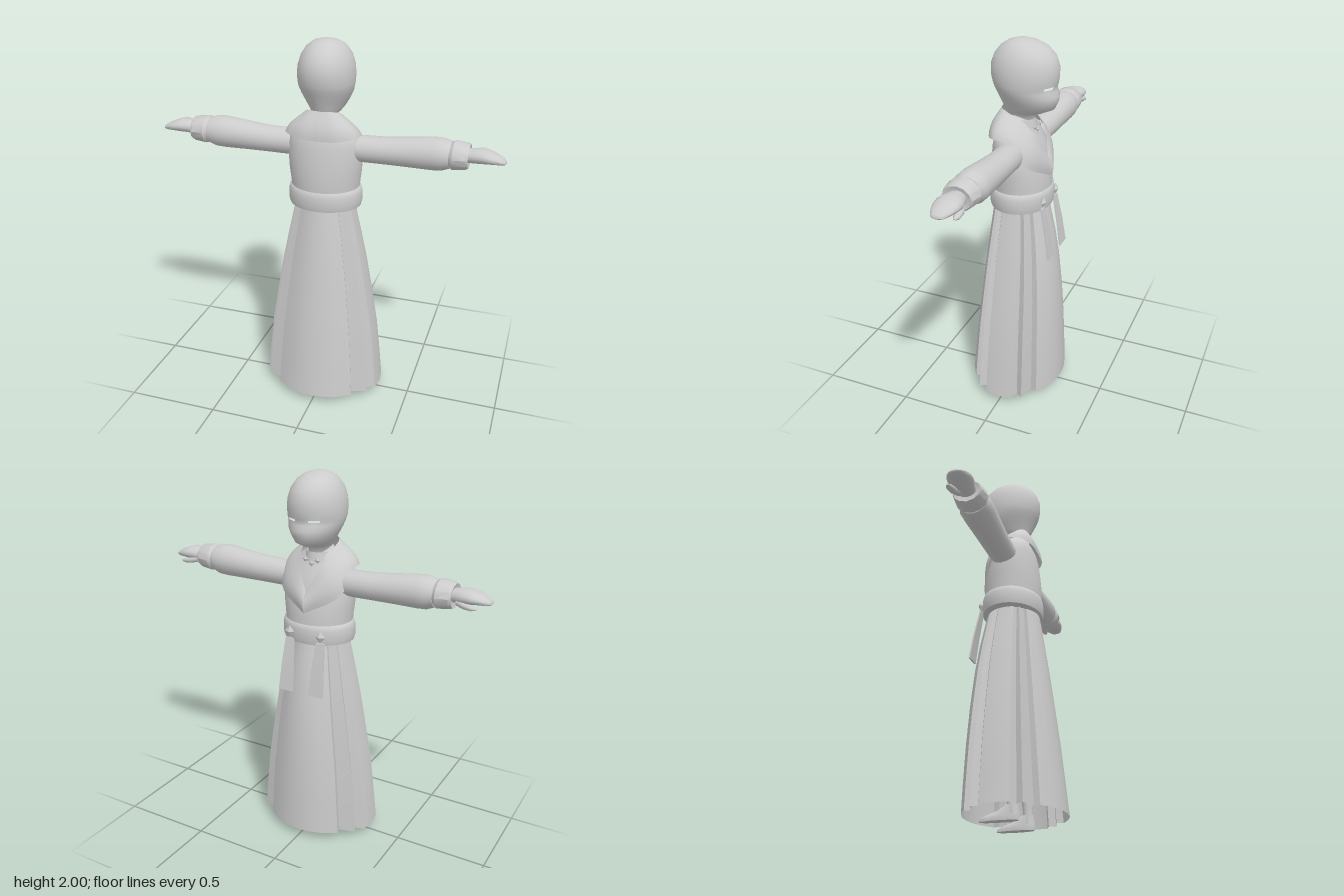
import * as THREE from 'three';
import { toCreasedNormals } from 'three/addons/utils/BufferGeometryUtils.js';

const TAU = Math.PI * 2;

// Skin a list of point rings; closed rings wrap around, caps fill the ends.
function loft(rings, { closed = true, capStart = false, capEnd = false, mirror = false, crease = 0.9, skip = null } = {}) {
  const n = rings[0].length, pos = [], idx = [];
  rings.forEach(r => r.forEach(p => pos.push(mirror ? -p[0] : p[0], p[1], p[2])));
  const tri = (a, b, c) => (mirror ? idx.push(a, c, b) : idx.push(a, b, c));
  for (let i = 0; i < rings.length - 1; i++) {
    for (let j = 0; j < (closed ? n : n - 1); j++) {
      if (skip && skip(i, j)) continue;
      const k = (j + 1) % n, a = i * n, b = a + n;
      tri(a + j, a + k, b + k);
      tri(a + j, b + k, b + j);
    }
  }
  const cap = (row, flip) => {
    const c = pos.length / 3, r = rings[row];
    const m = [0, 1, 2].map(d => r.reduce((s, p) => s + p[d], 0) / n);
    pos.push(mirror ? -m[0] : m[0], m[1], m[2]);
    for (let j = 0; j < n; j++) {
      const a = row * n + j, b = row * n + (j + 1) % n;
      flip ? tri(c, b, a) : tri(c, a, b);
    }
  };
  if (capStart) cap(0, true);
  if (capEnd) cap(rings.length - 1, false);
  const g = new THREE.BufferGeometry();
  g.setAttribute('position', new THREE.Float32BufferAttribute(pos, 3));
  g.setIndex(idx);
  return toCreasedNormals(g, crease);
}

// Horizontal oval ring: height, half width, back z, face-side z, centre x
const flatRing = (y, w, z1, z0, cx = 0, n = 32) => Array.from({ length: n }, (_, j) => {
  const a = j / n * TAU;
  return [cx + w * Math.sin(a), y, (z1 + z0) / 2 + (z1 - z0) / 2 * Math.cos(a)];
});

// Upright oval ring along the arm: x, centre y, half height, centre z, half depth
const armRing = ([x, y, h, z, d], n = 20) => Array.from({ length: n }, (_, j) => {
  const a = j / n * TAU;
  return [x, y + h * Math.cos(a), z + d * Math.sin(a)];
});

export function createModel() {
  const model = new THREE.Group();
  const grey = new THREE.MeshStandardMaterial({ color: 0xcccccc });
  grey.name = 'plain grey';
  const cloth = new THREE.MeshStandardMaterial({ color: 0xcccccc, side: THREE.DoubleSide });
  cloth.name = 'plain grey cloth';
  const add = (name, geo, mat = grey) => {
    const m = new THREE.Mesh(geo, mat);
    m.name = name;
    model.add(m);
    return m;
  };

  // Head, with two narrow eye slits on the -z face
  const headRows = [
    [1.50, 0.06, 0.06, -0.07], [1.58, 0.056, 0.06, -0.065], [1.625, 0.06, 0.07, -0.075],
    [1.637, 0.075, 0.078, -0.13], [1.66, 0.092, 0.087, -0.182], [1.70, 0.115, 0.103, -0.2],
    [1.73, 0.13, 0.117, -0.204], [1.755, 0.138, 0.128, -0.192], [1.772, 0.142, 0.135, -0.19],
    [1.784, 0.144, 0.139, -0.194], [1.82, 0.146, 0.147, -0.2], [1.87, 0.142, 0.148, -0.2],
    [1.92, 0.126, 0.13, -0.183], [1.96, 0.1, 0.098, -0.145], [1.985, 0.067, 0.06, -0.095],
    [1.997, 0.03, 0.022, -0.045], [2.0, 0.004, 0, -0.01]];
  add('head', loft(headRows.map(r => flatRing(...r, 0, 48)), {
    capEnd: true, crease: 1.3,
    skip: (i, j) => i === 8 && ((j >= 19 && j <= 21) || (j >= 26 && j <= 28))
  }));

  // Bodice
  add('torso', loft([
    [1.2, 0.182, 0.14, -0.168], [1.26, 0.184, 0.145, -0.167], [1.33, 0.194, 0.143, -0.16],
    [1.4, 0.197, 0.137, -0.143], [1.47, 0.193, 0.128, -0.118], [1.52, 0.178, 0.117, -0.092],
    [1.56, 0.13, 0.1, -0.072], [1.6, 0.075, 0.08, -0.06], [1.62, 0.06, 0.07, -0.05]
  ].map(r => flatRing(...r)), { capEnd: true }));

  // Wide collar that runs into crossed lapels; each half is a bulged strip
  const inner = [[0, 1.655, 0.085], [0.06, 1.655, 0.075], [0.085, 1.645, 0.04], [0.085, 1.61, -0.03], [0.065, 1.54, -0.105], [0, 1.41, -0.152]];
  const outer = [[0, 1.515, 0.137], [0.1, 1.518, 0.13], [0.188, 1.53, 0.075], [0.195, 1.52, -0.005], [0.172, 1.4, -0.1], [0, 1.3, -0.174]];
  const curve = pts => new THREE.CatmullRomCurve3(pts.map(p => new THREE.Vector3(...p)));
  const ci = curve(inner), co = curve(outer);
  const strips = [];
  for (let i = 0; i <= 24; i++) {
    const a = ci.getPoint(i / 24), b = co.getPoint(i / 24), row = [];
    for (let k = 0; k <= 6; k++) {
      const p = a.clone().lerp(b, k / 6);
      const s = 1 + 0.12 * Math.sin(k / 6 * Math.PI);
      row.push([p.x * s, p.y, p.z * s]);
    }
    strips.push(row);
  }
  for (const mirror of [false, true]) add(mirror ? 'rightCollar' : 'leftCollar', loft(strips, { closed: false, mirror }), cloth);

  // Neck band and small collar gems
  add('neckBand', loft([[1.55, 0.074, 0.07, -0.09], [1.6, 0.066, 0.066, -0.08]].map(r => flatRing(...r))), cloth);
  const gem = (name, x, y, z, r) => {
    const g = new THREE.OctahedronGeometry(r);
    g.scale(1, 1, 0.5);
    g.translate(x, y, z);
    add(name, g);
  };
  for (const x of [-0.035, 0, 0.035]) gem('collarGem', x, x ? 1.565 : 1.545, -0.094, 0.017);

  // Sash
  add('belt', loft([
    [1.125, 0.16, 0.125, -0.15], [1.135, 0.192, 0.148, -0.172], [1.16, 0.198, 0.154, -0.178],
    [1.21, 0.197, 0.153, -0.177], [1.235, 0.19, 0.147, -0.172], [1.243, 0.178, 0.138, -0.16]
  ].map(r => flatRing(...r))));

  // Pleated skirt: one stepped outline at the hem, narrowed towards the waist
  const quarter = [[0, 0.265], [0.07, 0.258], [0.14, 0.235], [0.215, 0.19], [0.205, 0.155], [0.295, 0.13], [0.275, 0.095], [0.325, 0.075], [0.335, 0]];
  const half = [...quarter, ...quarter.slice(0, -1).reverse().map(([x, z]) => [x, -z])];
  const hem = [...half, ...half.slice(1, -1).reverse().map(([x, z]) => [-x, z])];
  const skirtRows = [
    [0.045, 0.335, 0.265, -0.26], [0.2, 0.32, 0.25, -0.256], [0.4, 0.298, 0.23, -0.248], [0.6, 0.265, 0.206, -0.236],
    [0.8, 0.23, 0.181, -0.217], [0.95, 0.199, 0.16, -0.194], [1.08, 0.17, 0.142, -0.167], [1.15, 0.155, 0.13, -0.152]];
  add('skirt', loft(skirtRows.map(([y, w, b, f]) => hem.map(([x, z]) =>
    [x * w / 0.335, y, (z > 0 ? b : -f) * z / 0.265])), { crease: 0.55 }), cloth);

  for (const mirror of [false, true]) {
    const side = mirror ? 'right' : 'left', s = mirror ? -1 : 1;

    // Sleeve, cuff and hand
    add(side + 'Sleeve', loft([
      [0.13, 1.45, 0.065, -0.01, 0.07], [0.2, 1.45, 0.069, -0.015, 0.074], [0.32, 1.452, 0.07, -0.015, 0.076],
      [0.45, 1.459, 0.077, -0.014, 0.081], [0.56, 1.465, 0.084, -0.013, 0.086], [0.61, 1.466, 0.082, -0.013, 0.086],
      [0.65, 1.468, 0.068, -0.012, 0.074], [0.655, 1.468, 0.05, -0.01, 0.055]
    ].map(r => armRing(r)), { mirror, capEnd: true }));
    add(side + 'Cuff', loft([
      [0.645, 1.47, 0.05, -0.01, 0.055], [0.648, 1.47, 0.063, -0.01, 0.075], [0.665, 1.47, 0.074, -0.01, 0.086],
      [0.73, 1.47, 0.066, -0.01, 0.078], [0.742, 1.47, 0.06, -0.01, 0.072], [0.735, 1.47, 0.035, -0.01, 0.045]
    ].map(r => armRing(r, 12)), { mirror, capStart: true, capEnd: true, crease: 0.6 }));
    add(side + 'Hand', loft([
      [0.72, 1.473, 0.033, -0.01, 0.042], [0.76, 1.476, 0.036, -0.012, 0.052], [0.81, 1.48, 0.037, -0.013, 0.066],
      [0.85, 1.476, 0.029, -0.01, 0.062], [0.89, 1.468, 0.02, -0.008, 0.048], [0.915, 1.462, 0.011, -0.005, 0.03],
      [0.923, 1.46, 0.003, -0.005, 0.01]
    ].map(r => armRing(r, 16)), { mirror, capEnd: true }));
    add(side + 'Thumb', loft([
      [0.76, 1.455, 0.02, -0.04, 0.022], [0.8, 1.445, 0.018, -0.055, 0.022],
      [0.84, 1.438, 0.013, -0.06, 0.017], [0.863, 1.436, 0.004, -0.06, 0.006]
    ].map(r => armRing(r, 10)), { mirror, capStart: true, capEnd: true }));

    // Belt gem and the ribbon hanging beneath it
    gem(side + 'BeltGem', s * 0.09, 1.185, -0.165, 0.032);
    const ribbonRing = (y, w, z) => [[0.09 - w, y, z + 0.004], [0.09 + w, y, z + 0.004], [0.09 + w, y, z - 0.004], [0.09 - w, y, z - 0.004]];
    add(side + 'Ribbon', loft([
      ribbonRing(0.868, 0.043, -0.212), ribbonRing(1.0, 0.036, -0.192), ribbonRing(1.15, 0.025, -0.162)
    ], { mirror, capStart: true, capEnd: true, crease: 0.4 }));

    // Lower leg and pointed shoe
    add(side + 'Leg', loft([
      [0.03, 0.026, 0.058, 0.005, 0.13], [0.1, 0.024, 0.05, 0, 0.13], [0.2, 0.032, 0.06, -0.012, 0.125],
      [0.35, 0.042, 0.06, -0.03, 0.115], [0.5, 0.045, 0.055, -0.04, 0.105]
    ].map(r => flatRing(...r, 16)), { mirror, capEnd: true }));
    add(side + 'Shoe', loft([
      [0, 0.03, 0.062, -0.14, 0.13], [0.014, 0.032, 0.064, -0.138, 0.13], [0.03, 0.029, 0.063, -0.105, 0.13],
      [0.05, 0.026, 0.06, -0.045, 0.13], [0.075, 0.025, 0.055, -0.005, 0.13]
    ].map(r => flatRing(...r, 20)), { mirror, capStart: true, capEnd: true }));
  }
  return model;
}
